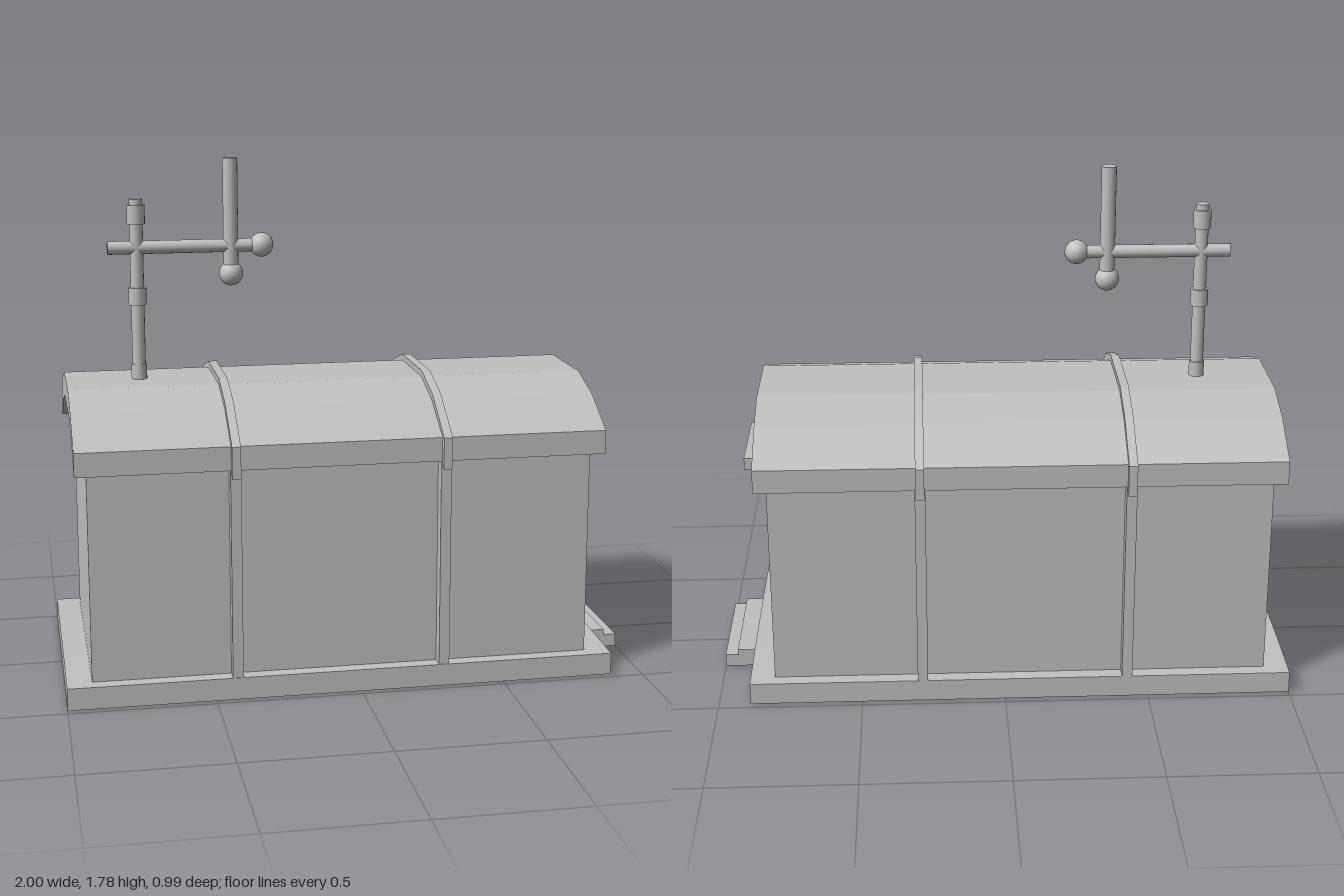
import * as THREE from 'three';

export function createModel() {
  const model = new THREE.Group();
  const grey = new THREE.MeshStandardMaterial({ color: 0xc0c0c0 });
  grey.name = 'plain grey';

  const add = (name, geometry, x = 0, y = 0, z = 0) => {
    const mesh = new THREE.Mesh(geometry, grey);
    mesh.name = name;
    mesh.position.set(x, y, z);
    model.add(mesh);
    return mesh;
  };
  const box = (name, x0, x1, y0, y1, z0, z1) =>
    add(name, new THREE.BoxGeometry(x1 - x0, y1 - y0, z1 - z0), (x0 + x1) / 2, (y0 + y1) / 2, (z0 + z1) / 2);

  // Half of a symmetric outline, listed from one side to the middle, mirrored across z = 0
  const mirrored = (half) => [...half, ...half.map(([z, y]) => [-z, y]).reverse()];
  const toPoints = (list) => list.map(([z, y]) => new THREE.Vector2(z, y));

  // Outline in the z-y plane, extruded along x
  const extrudeX = (name, outline, x0, x1, holes = []) => {
    const shape = new THREE.Shape(toPoints(outline));
    for (const hole of holes) shape.holes.push(new THREE.Path(toPoints(hole)));
    const geometry = new THREE.ExtrudeGeometry(shape, { depth: x1 - x0, bevelEnabled: false });
    geometry.rotateY(Math.PI / 2);
    return add(name, geometry, x0);
  };
  const trapezoid = (zBottom, yBottom, zTop, yTop) => mirrored([[zBottom, yBottom], [zTop, yTop]]);

  // Base slab with a barely crowned top, and the entrance steps
  extrudeX('base', mirrored([[0.475, 0], [0.475, 0.077], [0.2, 0.088]]), -1, 0.89);
  box('upperStep', 0.89, 0.955, 0, 0.065, -0.2, 0.2);
  box('lowerStep', 0.955, 1, 0, 0.045, -0.2, 0.2);

  // Walls, reaching up to the underside of the roof
  const underside = [[0.43, 0.83], [0.31, 0.897], [0.155, 0.94]];
  extrudeX('walls', mirrored([[0.43, 0.075], ...underside]), -0.915, 0.805);

  // Arched roof shell
  const arch = (outer) => [...mirrored(outer), ...mirrored(underside).reverse()];
  extrudeX('roof', arch([[0.475, 0.8], [0.475, 0.882], [0.313, 0.975], [0.155, 1.025]]), -0.955, 0.845);

  // Straps over the roof with posts down the walls
  for (const x of [-0.426, 0.288]) {
    extrudeX('roofStrap', arch([[0.497, 0.775], [0.497, 0.885], [0.318, 0.998], [0.158, 1.046]]), x - 0.015, x + 0.015);
    for (const s of [-1, 1]) {
      box('wallPost', x - 0.018, x + 0.018, 0.078, 0.84, s * 0.45 - 0.025, s * 0.45 + 0.025);
    }
  }

  // Door: surround, leaf with two sunken panels, canopy
  extrudeX('doorSurround', trapezoid(0.213, 0.085, 0.19, 0.755), 0.8, 0.818,
    [trapezoid(0.193, 0.09, 0.175, 0.73)]);
  extrudeX('doorLeaf', trapezoid(0.193, 0.09, 0.175, 0.73), 0.8, 0.811,
    [trapezoid(0.143, 0.485, 0.114, 0.675), trapezoid(0.18, 0.125, 0.114, 0.442)]);
  box('doorCanopy', 0.8, 0.9, 0.759, 0.8, -0.17, 0.17);

  // Mast and aerial on the roof
  const rod = (name, x, y0, y1, r) => add(name, new THREE.CylinderGeometry(r, r, y1 - y0, 16), x, (y0 + y1) / 2);
  rod('mast', -0.7, 1, 1.65, 0.023);
  rod('mastFoot', -0.7, 1, 1.078, 0.027);
  rod('mastCollar', -0.7, 1.285, 1.345, 0.031);
  rod('mastCollar', -0.7, 1.565, 1.63, 0.031);
  const bar = rod('crossbar', -0.55, 0, 0.5, 0.023);
  bar.position.y = 1.483;
  bar.rotation.z = Math.PI / 2;
  rod('aerialRod', -0.374, 1.4, 1.785, 0.026);
  const ball = new THREE.SphereGeometry(0.042, 18, 12);
  add('crossbarBall', ball, -0.267, 1.483);
  add('aerialBall', ball, -0.374, 1.385);

  return model;
}
